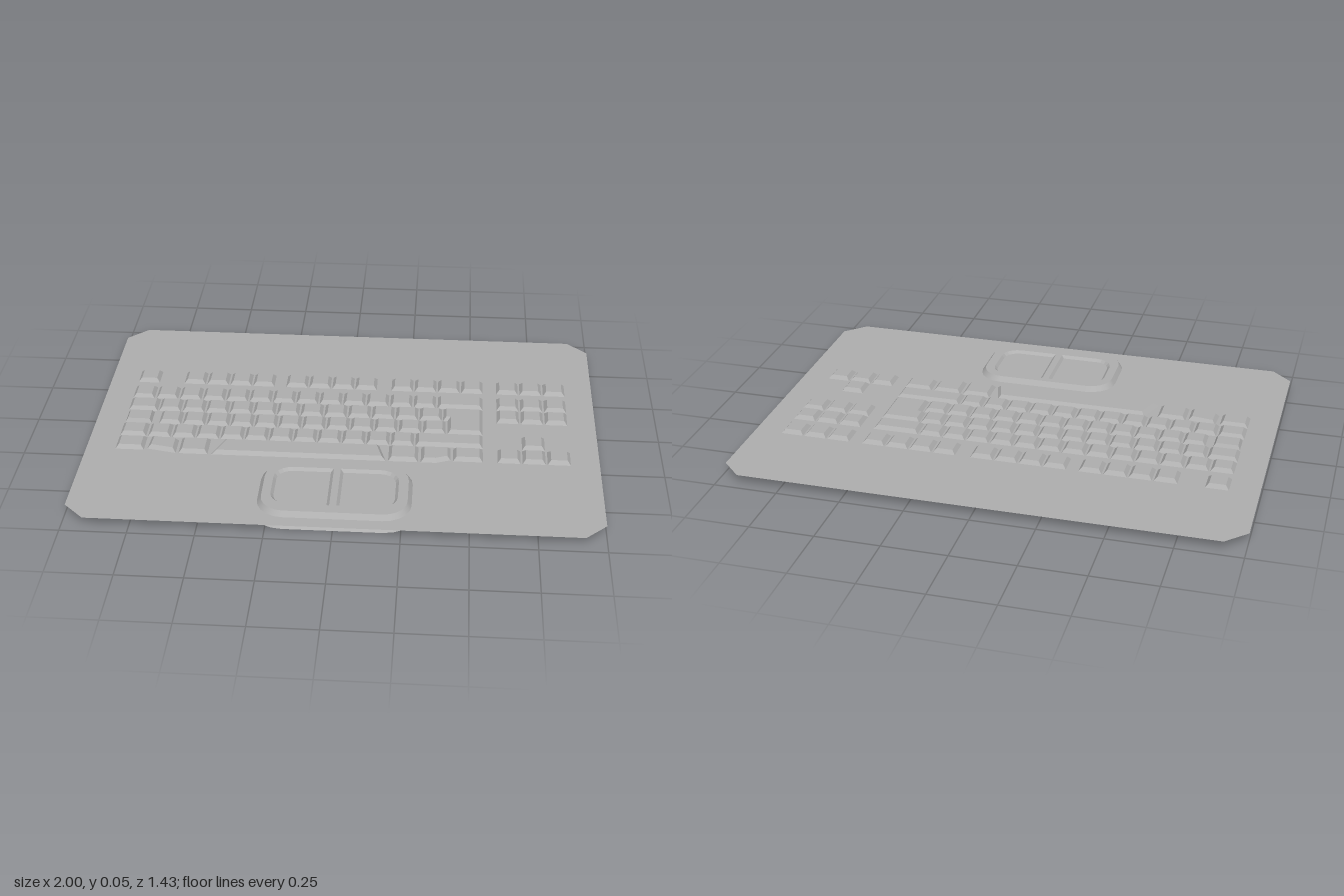
import * as THREE from 'three';

const grey = new THREE.MeshStandardMaterial({ name: 'grey', color: 0xb0b0b0, side: THREE.DoubleSide });

const PLATE_Y = 0.035, KEY_TOP = 0.05, PITCH = 0.0963, KEY = 0.089;

function addMesh(parent, geometry, name) {
  const mesh = new THREE.Mesh(geometry, grey);
  mesh.name = name;
  parent.add(mesh);
}

// Outlines are lists of [x, z], counter-clockwise seen from above.
function toShape(loop) {
  return new THREE.Shape(loop.map(([x, z]) => new THREE.Vector2(x, -z)));
}

// Flat horizontal face with optional holes.
function sheet(loop, y, holes = []) {
  const shape = toShape(loop);
  shape.holes = holes.map(toShape);
  return new THREE.ShapeGeometry(shape).rotateX(-Math.PI / 2).translate(0, y, 0);
}

// Sloping wall between two outlines.
function wall(a, ya, b, yb, smooth = false) {
  const n = a.length, pos = [], index = [];
  a.forEach(([x, z]) => pos.push(x, ya, z));
  b.forEach(([x, z]) => pos.push(x, yb, z));
  for (let i = 0; i < n; i++) {
    const j = (i + 1) % n;
    index.push(i, j, n + j, i, n + j, n + i);
  }
  let g = new THREE.BufferGeometry();
  g.setAttribute('position', new THREE.Float32BufferAttribute(pos, 3));
  g.setIndex(index);
  if (!smooth) g = g.toNonIndexed();
  g.computeVertexNormals();
  return g;
}

// Moves every edge of an outline inwards by d.
function inset(loop, d) {
  const n = loop.length;
  const normal = (s, t) => {
    const dx = t[0] - s[0], dz = t[1] - s[1], l = Math.hypot(dx, dz);
    return [dz / l, -dx / l];
  };
  return loop.map((p, i) => {
    const u = normal(loop[(i + n - 1) % n], p), v = normal(p, loop[(i + 1) % n]);
    const k = d / (1 + u[0] * v[0] + u[1] * v[1]);
    return [p[0] + (u[0] + v[0]) * k, p[1] + (u[1] + v[1]) * k];
  });
}

const rect = (x0, x1, z0, z1) => [[x0, z1], [x1, z1], [x1, z0], [x0, z0]];

// Rectangle with separate corner radii on its left (rl) and right (rr) ends.
function roundRect(x0, x1, z0, z1, rl, rr) {
  const pts = [], steps = 5;
  const corner = (cx, cz, r, start) => {
    for (let i = 0; i <= steps; i++) {
      const t = start + (i / steps) * Math.PI / 2;
      pts.push([cx + r * Math.cos(t), cz - r * Math.sin(t)]);
    }
  };
  corner(x1 - rr, z0 + rr, rr, 0);
  corner(x0 + rl, z0 + rl, rl, Math.PI / 2);
  corner(x0 + rl, z1 - rl, rl, Math.PI);
  corner(x1 - rr, z1 - rr, rr, Math.PI * 1.5);
  return pts;
}

function addKey(parent, loop, name, bottom = PLATE_Y) {
  const key = new THREE.Group();
  key.name = name;
  const top = inset(loop, 0.013);
  addMesh(key, wall(loop, bottom, top, KEY_TOP), 'keySides');
  addMesh(key, sheet(top, KEY_TOP), 'keyTop');
  parent.add(key);
}

function addRun(parent, x, z, count, name) {
  for (let i = 0; i < count; i++) {
    addKey(parent, rect(x + i * PITCH, x + i * PITCH + KEY, z, z + KEY), name);
  }
}

function createKeyboard() {
  const keys = new THREE.Group();
  keys.name = 'keyboard';
  const L = -0.885, R = 0.55, NAV = 0.607;
  const Z = [-0.355, -0.227, -0.131, -0.035, 0.061, 0.158];

  // Top row
  addRun(keys, L, Z[0], 1, 'escapeKey');
  [-0.692, -0.265, 0.174].forEach(x => addRun(keys, x, Z[0], 4, 'topRowKey'));

  // Letter and number rows
  addRun(keys, L, Z[1], 13, 'numberKey');
  addRun(keys, -0.762, Z[2], 12, 'letterKey');
  addRun(keys, -0.746, Z[3], 12, 'letterKey');
  addRun(keys, -0.773, Z[4], 11, 'letterKey');

  // Wide keys
  addKey(keys, rect(0.368, R, Z[1], Z[1] + KEY), 'backspaceKey');
  addKey(keys, rect(L, -0.768, Z[2], Z[2] + KEY), 'tabKey');
  addKey(keys, rect(L, -0.772, Z[3], Z[3] + KEY), 'capsKey', 0.028);
  addKey(keys, rect(L, -0.781, Z[4], Z[4] + KEY), 'leftShiftKey');
  addKey(keys, rect(0.286, R, Z[4], Z[4] + KEY), 'rightShiftKey');
  addKey(keys, [[0.41, 0.054], [R, 0.054], [R, Z[2]], [0.392, Z[2]], [0.392, -0.045], [0.41, -0.045]], 'enterKey');

  // Bottom row, with slanted keys stepping towards the space bar
  const z = Z[5], low = 0.262;
  addKey(keys, rect(L, -0.773, z, z + KEY), 'controlKey');
  addKey(keys, [[-0.76, 0.238], [-0.645, low], [-0.645, 0.17], [-0.755, 0.153]], 'slantedKey');
  addKey(keys, rect(-0.634, -0.52, z, low), 'modifierKey');
  addKey(keys, [[-0.505, low], [0.175, low], [0.145, z], [-0.465, z]], 'spaceBar');
  addKey(keys, rect(0.184, 0.299, z, low), 'modifierKey');
  addKey(keys, [[0.31, low], [0.37, low], [0.425, 0.24], [0.425, z], [0.31, z]], 'slantedKey');
  addKey(keys, rect(0.435, R, z, z + KEY), 'controlKey');

  // Navigation and arrow keys
  [Z[0], Z[1], Z[2], Z[5]].forEach(row => addRun(keys, NAV, row, 3, 'navigationKey'));
  addRun(keys, NAV + PITCH, Z[4], 1, 'upKey');
  return keys;
}

function createTray() {
  const tray = new THREE.Group();
  tray.name = 'pointerTray';
  const topY = 0.055, floorY = 0.044;
  const foot = roundRect(-0.318, 0.312, 0.288, 0.686, 0.13, 0.13);
  const rim = roundRect(-0.276, 0.27, 0.33, 0.647, 0.09, 0.09);
  addMesh(tray, wall(foot, 0, rim, topY, true), 'traySides');

  // Two sunken buttons, rounded at their outer ends
  const buttons = [[-0.243, -0.018, 0.07, 0.004], [0.008, 0.233, 0.004, 0.07]];
  const edges = buttons.map(([x0, x1, rl, rr]) => roundRect(x0, x1, 0.357, 0.602, rl, rr));
  addMesh(tray, sheet(rim, topY, edges), 'trayTop');
  buttons.forEach(([x0, x1, rl, rr], i) => {
    const d = 0.011;
    const floor = roundRect(x0 + d, x1 - d, 0.357 + d, 0.602 - d, Math.max(rl - d, 0.002), Math.max(rr - d, 0.002));
    addMesh(tray, wall(edges[i], topY, floor, floorY), 'buttonRecess');
    addMesh(tray, sheet(floor, floorY), 'button');
  });
  return tray;
}

export function createModel() {
  const model = new THREE.Group();
  model.name = 'keyboardDeck';

  // Thin deck with cut corners
  const deck = [[-0.92, 0.714], [0.92, 0.714], [1, 0.636], [1, -0.638],
    [0.92, -0.716], [-0.92, -0.716], [-1, -0.638], [-1, 0.636]];
  addMesh(model, sheet(deck, PLATE_Y), 'deck');

  model.add(createKeyboard(), createTray());
  return model;
}
